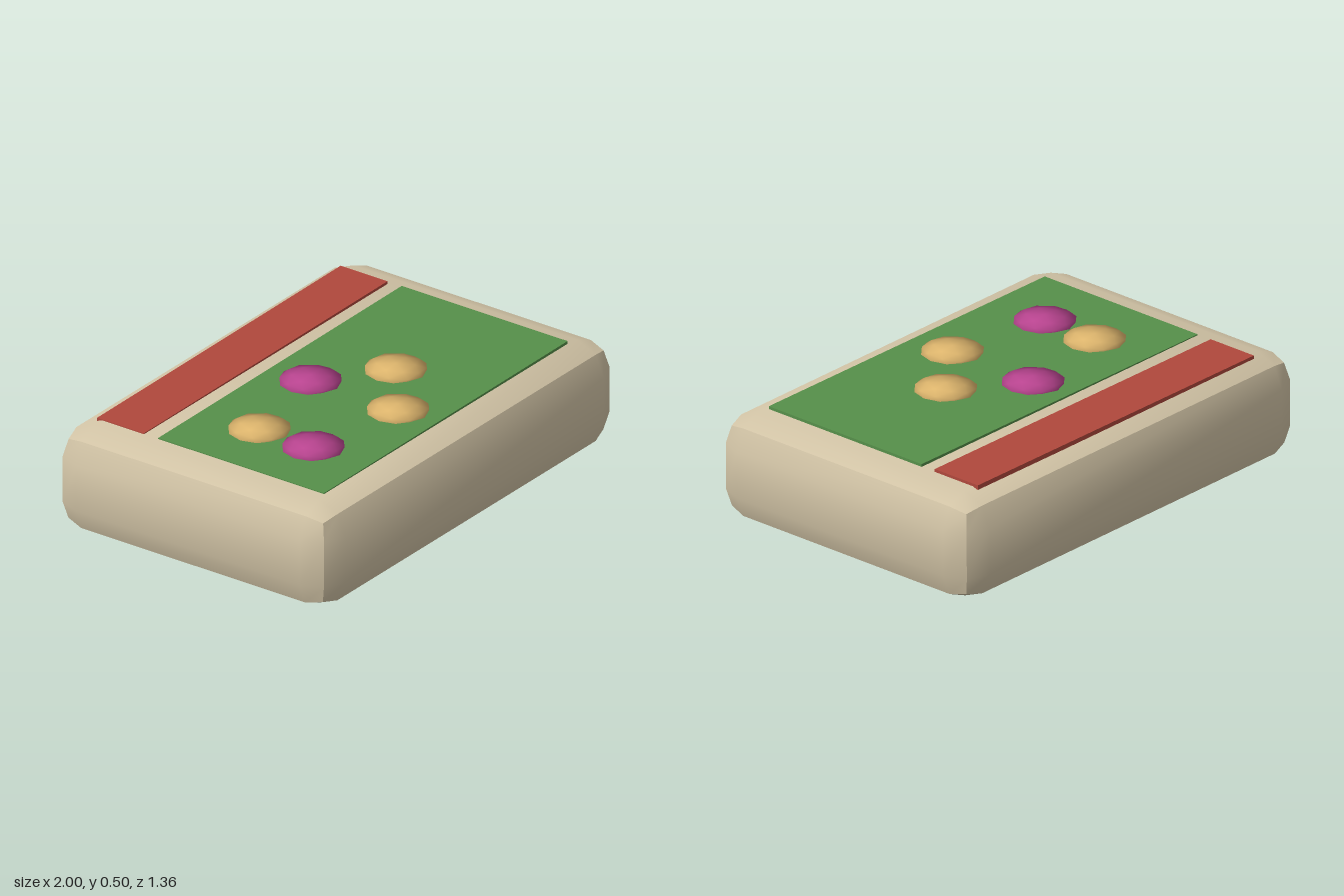
import * as THREE from 'three';
import { RoundedBoxGeometry } from 'three/addons/geometries/RoundedBoxGeometry.js';
import { toCreasedNormals } from 'three/addons/utils/BufferGeometryUtils.js';

function material(name, color) {
  const m = new THREE.MeshStandardMaterial({ color });
  m.name = name;
  return m;
}

// Squashed low-poly ball that keeps its round shading
function buttonGeometry(radius, halfHeight) {
  const geo = new THREE.IcosahedronGeometry(radius, 1);
  const pos = geo.attributes.position;
  for (let i = 0; i < pos.count; i++) pos.setY(i, pos.getY(i) * halfHeight / radius);
  return geo;
}

export function createModel() {
  const group = new THREE.Group();
  group.name = 'controlBox';

  const beige = material('beige', 0xd2c4a6);
  const green = material('green', 0x56904a);
  const red = material('red', 0xb0483c);
  const gold = material('gold', 0xdcb46c);
  const magenta = material('magenta', 0xb8448f);

  function add(name, geometry, mat, x, y, z) {
    const mesh = new THREE.Mesh(geometry, mat);
    mesh.name = name;
    mesh.position.set(x, y, z);
    group.add(mesh);
    return mesh;
  }

  // Case with softly bevelled edges, very slightly tilted
  const caseGeometry = toCreasedNormals(new RoundedBoxGeometry(1.998, 0.46, 1.36, 1, 0.13), 0.6);
  add('case', caseGeometry, beige, 0, 0.235, 0).rotation.z = -0.005;

  // Panels on the top face
  add('mainPanel', new THREE.BoxGeometry(1.64, 0.02, 0.815), green, 0, 0.463, 0.132);
  add('rearStrip', new THREE.BoxGeometry(1.64, 0.02, 0.23), red, 0, 0.463, -0.46);

  // Buttons on the main panel
  const button = buttonGeometry(0.13, 0.024);
  [
    [-0.515, 0.0, gold],
    [-0.515, 0.265, magenta],
    [-0.055, -0.085, magenta],
    [0.225, 0.13, gold],
    [-0.055, 0.345, gold],
  ].forEach(([x, z, mat], i) => add(`button${i + 1}`, button, mat, x, 0.473, z));

  return group;
}
